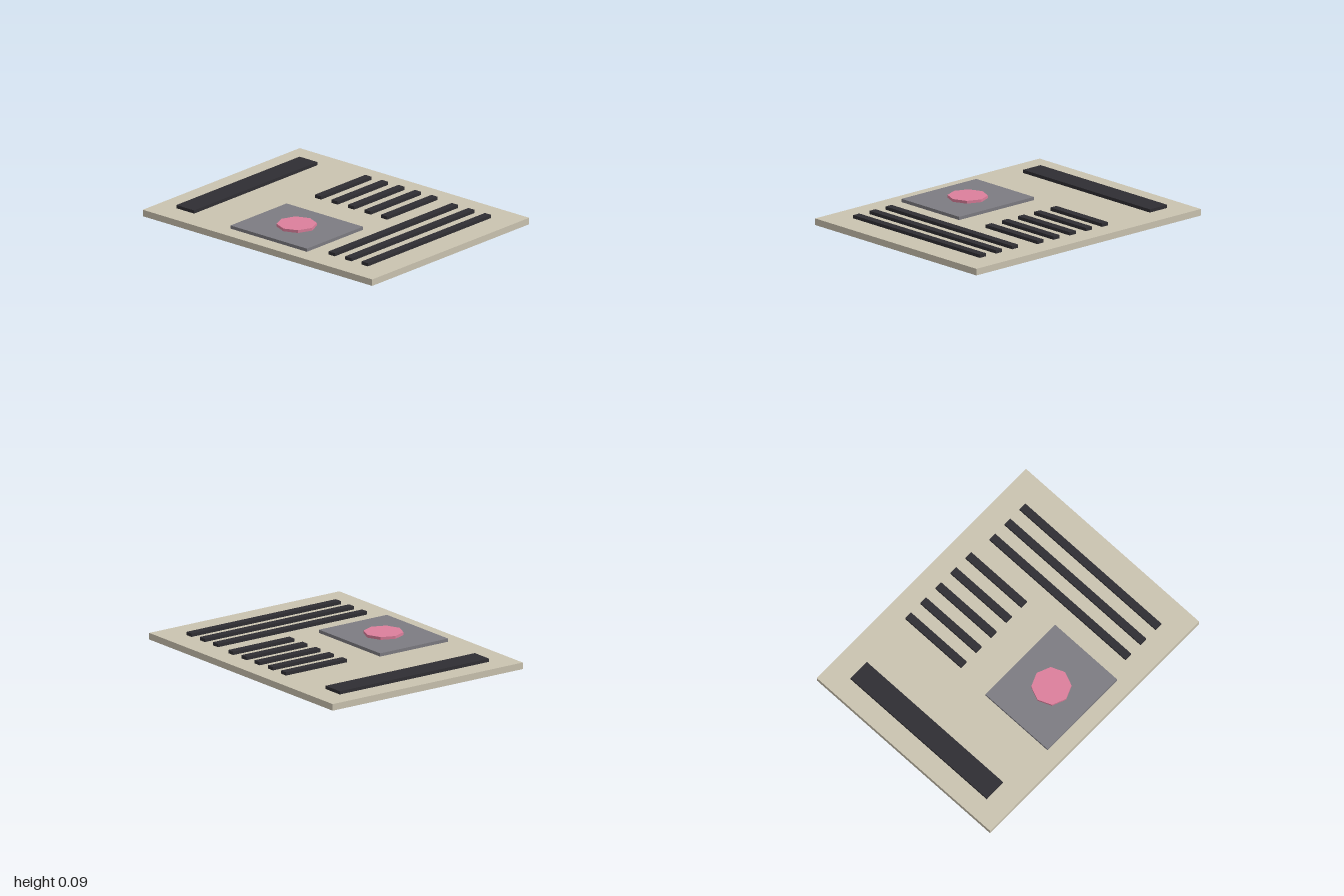
import * as THREE from 'three';

const SHEET_TOP = 0.045;
const PRINT_TOP = 0.067;
const BADGE_TOP = 0.086;

const material = (color) => new THREE.MeshStandardMaterial({ color, flatShading: true });

export function createModel() {
  const model = new THREE.Group();
  model.name = 'newspaper';

  const paper = material(0xcac3b0);
  const ink = material(0x2f2e33);
  const grey = material(0x7d7c82);
  const pink = material(0xdc7f9c);

  // Flat slab between heights y0 and y1, centred on (x, z)
  const slab = (name, mat, x, z, width, depth, y0, y1) => {
    const mesh = new THREE.Mesh(new THREE.BoxGeometry(width, y1 - y0, depth), mat);
    mesh.name = name;
    mesh.position.set(x, (y0 + y1) / 2, z);
    model.add(mesh);
  };

  slab('sheet', paper, 0, 0, 1.556, 2, 0, SHEET_TOP);
  slab('headline', ink, 0, -0.777, 1.222, 0.155, SHEET_TOP, PRINT_TOP);
  slab('picturePanel', grey, -0.389, 0, 0.556, 0.666, SHEET_TOP, PRINT_TOP);

  // Short text column beside the picture
  for (let i = 0; i < 5; i++) {
    slab(`columnLine${i + 1}`, ink, 0.387, -0.277 + i * 0.144, 0.5, 0.054, SHEET_TOP, PRINT_TOP);
  }

  // Full-width text lines below the picture
  for (let i = 0; i < 3; i++) {
    slab(`wideLine${i + 1}`, ink, 0, 0.5 + i * 0.144, 1.222, 0.054, SHEET_TOP, PRINT_TOP);
  }

  // Eight-sided disc on the picture
  const disc = new THREE.Mesh(
    new THREE.CylinderGeometry(0.132, 0.132, BADGE_TOP - PRINT_TOP, 8), pink);
  disc.name = 'pictureDisc';
  disc.position.set(-0.389, (PRINT_TOP + BADGE_TOP) / 2, 0);
  model.add(disc);

  return model;
}
